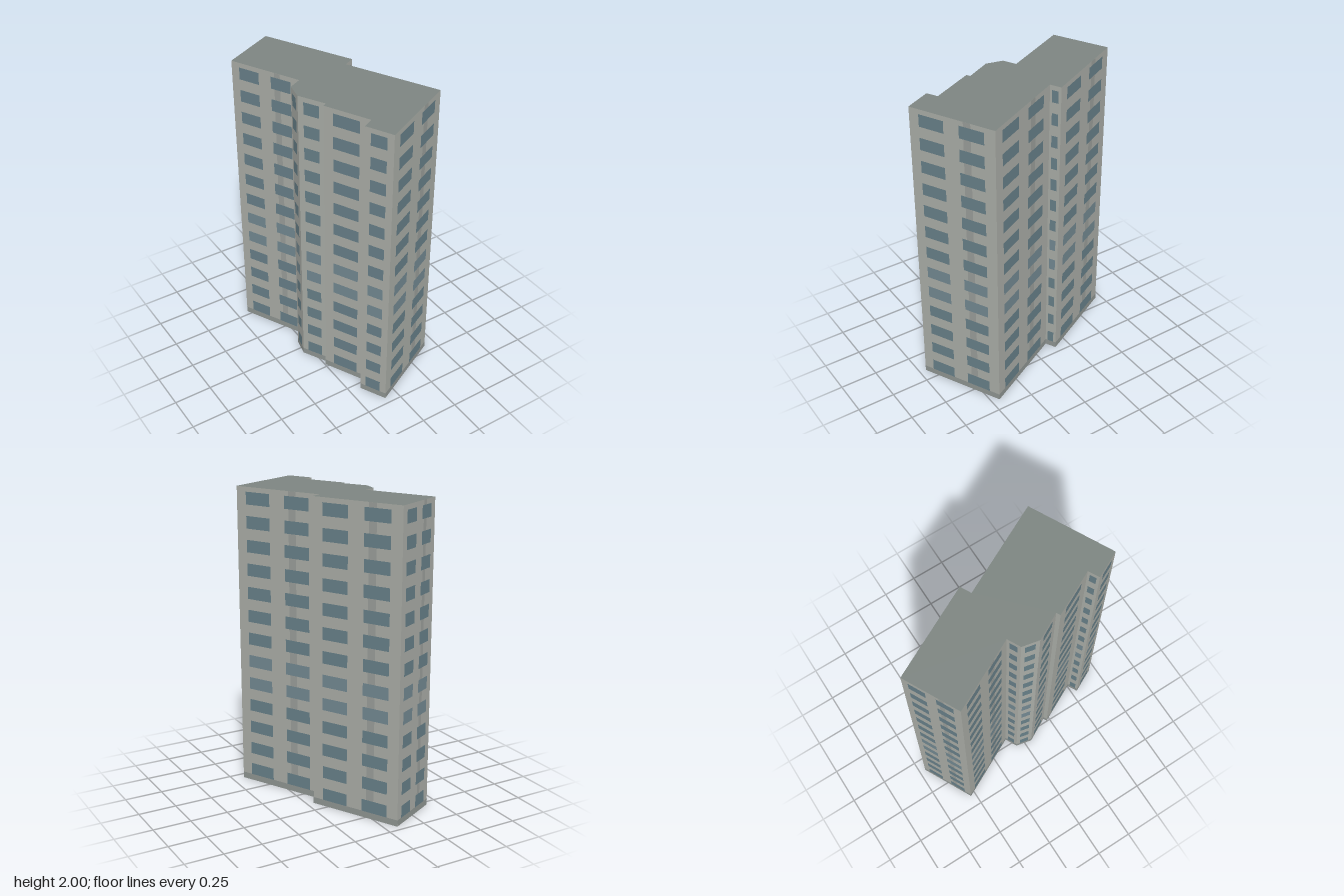
import * as THREE from 'three';

const HEIGHT = 2;
const FLOORS = 13;

// Footprint corners [x, z], counter-clockwise seen from above, starting at the front end wall
const FOOTPRINT = [
  [-0.09, 0.705], [0.42, 0.446], [0.135, -0.117], [0.203, -0.152], [-0.08, -0.708],
  [-0.42, -0.534], [-0.203, -0.102], [-0.285, -0.06], [-0.308, 0.05], [-0.22, 0.214],
  [-0.244, 0.227], [-0.105, 0.504], [-0.173, 0.54],
];

const wallMat = new THREE.MeshStandardMaterial({ color: 0xa9aca6, side: THREE.DoubleSide });
const roofMat = new THREE.MeshStandardMaterial({ color: 0x7d8581, side: THREE.DoubleSide });
const stripMat = new THREE.MeshStandardMaterial({ color: 0x999d99 });
const plinthMat = new THREE.MeshStandardMaterial({ color: 0x8e9491 });
const glassMat = new THREE.MeshStandardMaterial({ color: 0x677f88 });
const paleGlassMat = new THREE.MeshStandardMaterial({ color: 0x728891 });

// Flat upright panel spanning x0..x1 and y0..y1 in a wall's own frame
function panel(name, material, x0, x1, y0, y1, depth) {
  const mesh = new THREE.Mesh(new THREE.PlaneGeometry(x1 - x0, y1 - y0), material);
  mesh.position.set((x0 + x1) / 2, (y0 + y1) / 2, depth);
  mesh.name = name;
  return mesh;
}

// One straight facade from corner a to corner b, with its windows
function facade(a, b, index) {
  const dx = b[0] - a[0], dz = b[1] - a[1];
  const length = Math.hypot(dx, dz);
  const wall = new THREE.Group();
  wall.name = `facade${index + 1}`;
  wall.position.set(a[0], 0, a[1]);
  wall.rotation.y = Math.atan2(-dz, dx);
  wall.add(panel('wall', wallMat, 0, length, 0, HEIGHT, 0));
  wall.add(panel('plinth', plinthMat, 0, length, 0, 0.042, 0.001));

  // Window columns as fractions of the wall length
  let columns = [[0.115, 0.405], [0.585, 0.875]];
  if (length < 0.35) columns = [[0.21, 0.77]];
  if (length < 0.05) columns = [];

  // Darker vertical strip behind the second window column
  if (columns.length === 2) {
    wall.add(panel('verticalStrip', stripMat, 0.635 * length, 0.72 * length, 0.042, HEIGHT, 0.001));
  }

  const step = HEIGHT / FLOORS;
  for (let floor = 0; floor < FLOORS; floor++) {
    const y = floor * step + 0.042;
    const material = floor === 4 || floor === 5 ? paleGlassMat : glassMat;
    for (const [u0, u1] of columns) {
      wall.add(panel('window', material, u0 * length, u1 * length, y, y + 0.081, 0.002));
    }
  }
  return wall;
}

export function createModel() {
  const building = new THREE.Group();
  building.name = 'towerBlock';

  // Facades around the footprint; the underside stays open
  FOOTPRINT.forEach((corner, i) => {
    building.add(facade(corner, FOOTPRINT[(i + 1) % FOOTPRINT.length], i));
  });

  // Flat roof
  const outline = new THREE.Shape(FOOTPRINT.map(([x, z]) => new THREE.Vector2(x, -z)));
  const roof = new THREE.Mesh(new THREE.ShapeGeometry(outline).rotateX(-Math.PI / 2), roofMat);
  roof.position.y = HEIGHT;
  roof.name = 'roof';
  building.add(roof);

  return building;
}
